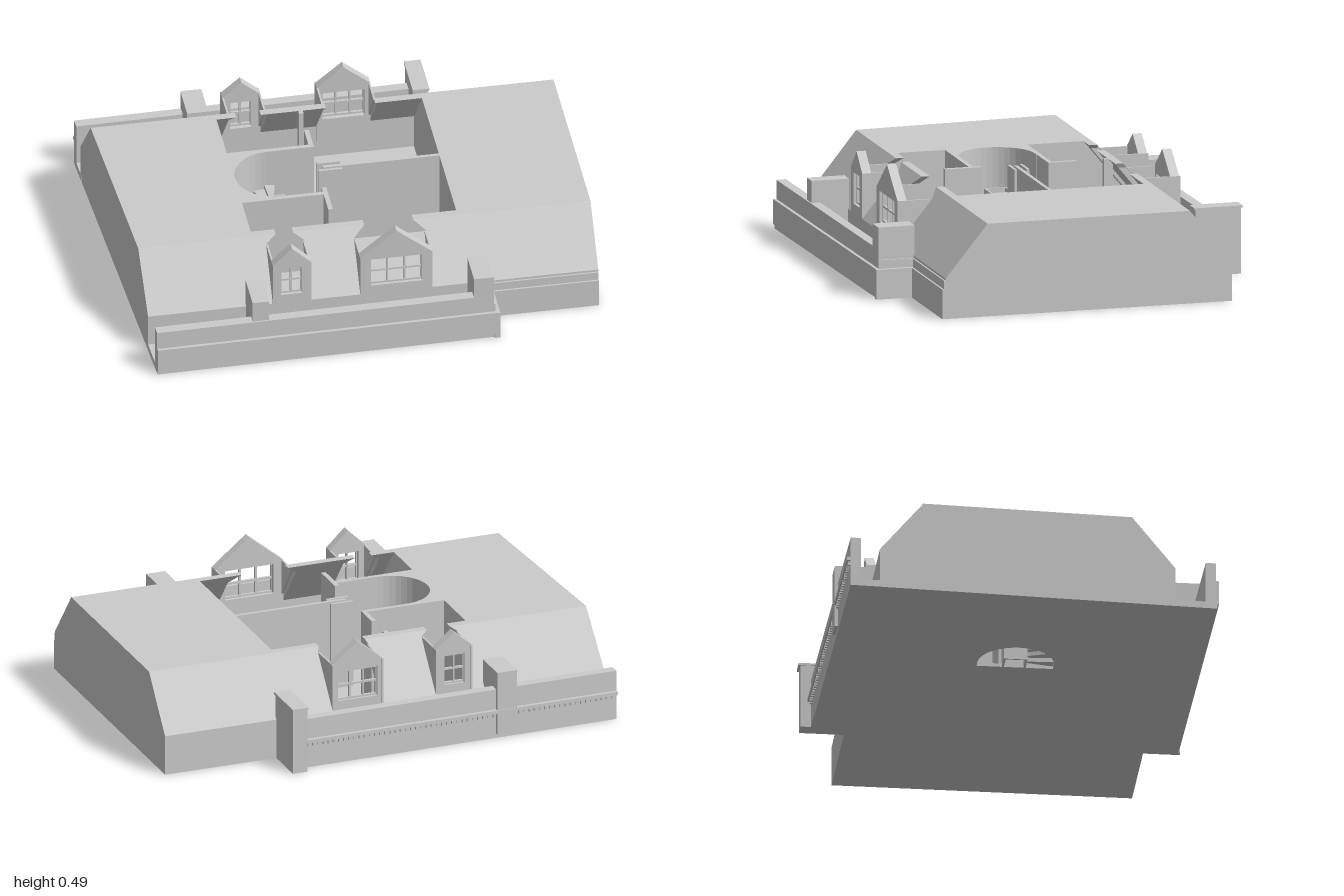
import * as THREE from 'three';

const mat = new THREE.MeshStandardMaterial({ color: 0xcccccc, flatShading: true, side: THREE.DoubleSide });
const TOP = 0.4, EAVE = 0.175, ZE = 0.63, ZR = 0.445;   // roof cut height, eaves height, eaves z, ridge z
const XL = -0.45, XR = 0.43;                            // attic room ends
const slopeZ = y => ZE + (ZR - ZE) * (y - EAVE) / (TOP - EAVE);
const skewX = z => -0.961 + 0.0503 * z;                 // slanted party wall

function shapeOf(pts) {
  return new THREE.Shape(pts.map(([x, y]) => new THREE.Vector2(x, y)));
}

function extrude(shape, depth) {
  return new THREE.ExtrudeGeometry(shape, { depth, bevelEnabled: false, curveSegments: 16 });
}

// Move every vertex by a rule, then rebuild normals
function warp(geo, rule) {
  const p = geo.attributes.position, v = new THREE.Vector3();
  for (let i = 0; i < p.count; i++) {
    rule(v.fromBufferAttribute(p, i));
    p.setXYZ(i, v.x, v.y, v.z);
  }
  geo.computeVertexNormals();
  return geo;
}

export function createModel() {
  const root = new THREE.Group();
  root.name = 'atticStorey';

  const add = (name, geo, parent = root) => {
    const m = new THREE.Mesh(geo, mat);
    m.name = name;
    parent.add(m);
    return m;
  };
  // Upright prism over a plan outline of [x, z] points
  const plan = (name, pts, y0, y1, hole) => {
    const s = shapeOf(pts.map(([x, z]) => [x, -z]));
    if (hole) s.holes.push(new THREE.Path(hole.map(([x, z]) => new THREE.Vector2(x, -z))));
    return add(name, extrude(s, y1 - y0).rotateX(-Math.PI / 2).translate(0, y0, 0));
  };
  const box = (name, x0, x1, y0, y1, z0, z1, parent) =>
    add(name, new THREE.BoxGeometry(x1 - x0, y1 - y0, z1 - z0)
      .translate((x0 + x1) / 2, (y0 + y1) / 2, (z0 + z1) / 2), parent);

  // Closed roof volumes at both ends
  const section = [[-ZE, 0], [ZE, 0], [ZE, EAVE], [ZR, TOP], [-ZR, TOP], [-ZE, EAVE]];
  const endBlock = (name, lo, hi) => add(name, warp(extrude(shapeOf(section), 1), v => {
    const z = -v.x, a = lo(z), b = hi(z);
    v.set(a + (b - a) * v.z, v.y, z);
  }));
  endBlock('leftRoofBlock', () => XR, () => 1);
  endBlock('rightRoofBlock', skewX, () => XL);

  // Stair well outline: half circle closed on the landing side
  const C = [-0.285, 0.018], R = 0.162, XS = -0.25;
  const arc = [];
  for (let i = 0; i <= 20; i++) {
    const a = Math.PI / 2 + Math.PI * i / 20;
    arc.push([C[0] + R * Math.cos(a), C[1] + R * Math.sin(a)]);
  }
  const well = [[XS, C[1] + R], ...arc, [XS, C[1] - R]];
  plan('floor', [[XL, -ZE], [XR, -ZE], [XR, ZE], [XL, ZE]], 0, 0.015, well);
  plan('stairEnclosure', [[XS, -0.165], [XL, -0.165], [XL, 0.2], [XS, 0.2], ...well], 0.01, TOP);

  // Winding treads around an open well
  const steps = 12;
  for (let i = 0; i < steps; i++) {
    const ring = (r, t) => {
      const a = Math.PI * (0.42 + 1.16 * t / steps);
      return [Math.min(XS, C[0] + r * Math.cos(a)), C[1] + r * Math.sin(a)];
    };
    const y = 0.03 + 0.018 * i;
    plan('stairTread', [ring(0.045, i), ring(R, i), ring(R, i + 1), ring(0.045, i + 1)], y - 0.018, y);
  }
  for (const [x0, x1] of [[-0.333, -0.325], [-0.235, -0.227]])
    box('stairString', x0, x1, 0, 0.25, -0.03, 0.058);
  for (const z of [-0.036, 0.056]) box('stairString', -0.333, -0.227, 0, 0.25, z, z + 0.008);

  // Interior partitions: x0, x1, z0, z1
  for (const [x0, x1, z0, z1] of [
    [XS, -0.08, -0.165, -0.145], [XS, -0.08, 0.18, 0.2],
    [-0.1, -0.08, -0.27, -0.145], [-0.1, -0.08, 0.15, 0.31], [-0.1, -0.08, -0.43, -0.39],
    [-0.07, XR, -0.006, 0.01], [-0.09, 0.01, 0.02, 0.032], [-0.09, 0.01, -0.034, -0.022],
  ]) box('partition', x0, x1, 0.01, TOP, z0, z1);

  // Middle roof slopes and dormers; s = 1 front, -1 back
  const sides = [
    { s: 1, dormers: [
      { x0: -0.395, x1: -0.23, eave: 0.37, peak: 0.45, cut: 0.045, cols: 2, w: [-0.36, -0.27] },
      { x0: -0.02, x1: 0.29, eave: 0.36, peak: 0.487, cut: 0.05, cols: 3, w: [0.025, 0.245] }] },
    { s: -1, dormers: [
      { x0: -0.395, x1: -0.23, eave: 0.38, peak: 0.45, cut: 0.03, cols: 2, w: [-0.36, -0.27] },
      { x0: 0.01, x1: 0.24, eave: 0.38, peak: 0.475, cut: 0.01, cols: 3, w: [0.035, 0.215] }] },
  ];
  for (const { s, dormers } of sides) {
    box('kneeWall', XL, XR, 0, EAVE, s * 0.615 - 0.015, s * 0.615 + 0.015);

    // Roof slab outline with a notch for each dormer
    const outline = [[XL, EAVE]];
    for (const d of dormers) outline.push([d.x0, EAVE], [d.x0, d.eave], [d.x0 + d.cut, TOP],
      [d.x1 - d.cut, TOP], [d.x1, d.eave], [d.x1, EAVE]);
    outline.push([XR, EAVE], [XR, TOP], [XL, TOP]);
    // split the outline into strips between the notches
    const [a, b] = dormers;
    const strips = [
      [[XL, EAVE], [a.x0, EAVE], [a.x0, a.eave], [a.x0 + a.cut, TOP], [XL, TOP]],
      [[a.x1, EAVE], [b.x0, EAVE], [b.x0, b.eave], [b.x0 + b.cut, TOP], [a.x1 - a.cut, TOP], [a.x1, a.eave]],
      [[b.x1, EAVE], [XR, EAVE], [XR, TOP], [b.x1 - b.cut, TOP], [b.x1, b.eave]],
    ];
    for (const strip of strips)
      add('roofSlope', warp(extrude(shapeOf(strip), 0.035), v => { v.z = s * (slopeZ(v.y) - v.z); }));

    for (const d of dormers) {
      const g = new THREE.Group();
      g.name = 'dormer';
      root.add(g);
      // Gable wall with window opening
      const mid = (d.x0 + d.x1) / 2, [w0, w1] = d.w, y0 = 0.215, y1 = 0.35;
      const gable = shapeOf([[d.x0, 0.1], [d.x1, 0.1], [d.x1, d.eave], [mid, d.peak], [d.x0, d.eave]]);
      gable.holes.push(new THREE.Path([[w0, y0], [w0, y1], [w1, y1], [w1, y0]]
        .map(([x, y]) => new THREE.Vector2(x, y))));
      add('gableWall', extrude(gable, 0.04).translate(0, 0, s > 0 ? ZE - 0.04 : 0.005 - ZE), g);
      // Window bars
      const zc = s * 0.61, t = 0.004;
      for (let i = 0; i <= d.cols; i++) {
        const x = w0 + (w1 - w0) * i / d.cols;
        box('windowBar', x - t, x + t, y0, y1, zc - 0.006, zc + 0.006, g);
      }
      for (const y of [y0 + t, (y0 + y1) / 2, y1 - t])
        box('windowBar', w0, w1, y - t, y + t, zc - 0.006, zc + 0.006, g);
      // Triangular cheeks
      const cheek = shapeOf([[-ZE, EAVE - 0.02], [-slopeZ(d.eave), d.eave], [-ZE, d.eave]]);
      for (const x of [d.x0, d.x1 - 0.008])
        add('dormerCheek', warp(extrude(cheek, 0.008), v => v.set(x + v.z, v.y, -s * v.x)), g);
    }
  }

  // Front parapet with gutter behind, stepped base, return and piers
  const run = (name, x0, x1, zIn, zOut, y0, y1, tilt) => {
    const z = (x, k) => k + tilt * (x + 0.2);
    plan(name, [[x0(zIn), z(x0(zIn), zIn)], [x1, z(x1, zIn)], [x1, z(x1, zOut)], [x0(zOut), z(x0(zOut), zOut)]], y0, y1);
  };
  const F = -0.012, B = -0.014;
  run('frontGutter', skewX, 0.54, 0.62, 0.78, 0, 0.03, F);
  run('frontParapet', skewX, 0.525, 0.75, 0.793, 0, 0.21, F);
  run('frontBaseCourse', skewX, 0.55, 0.785, 0.807, 0.02, 0.128, F);
  run('frontPlinth', skewX, 0.545, 0.785, 0.8, 0, 0.02, F);
  box('parapetReturn', 0.525, 0.55, 0, 0.128, 0.62, 0.8);
  box('parapetReturn', 0.5, 0.532, 0, 0.165, 0.62, 0.785);
  box('parapetPier', -0.51, -0.44, 0.02, 0.305, 0.625, 0.79);
  box('parapetPier', 0.44, 0.525, 0.02, 0.305, 0.625, 0.785);
  box('frontBand', 0.54, 1, 0, 0.128, 0.62, 0.645);
  box('frontBandCap', 0.54, 1, 0.128, 0.165, 0.62, 0.637);

  // Back parapet with dentilled cornice, pier and tall end pier
  run('backGutter', skewX, 0.44, -0.62, -0.76, 0, 0.03, B);
  run('backParapet', skewX, 0.44, -0.722, -0.766, 0, 0.22, B);
  run('backCornice', skewX, 0.44, -0.74, -0.782, 0.115, 0.13, B);
  for (let i = 0; i < 60; i++) {
    const x = -0.985 + i * 0.0235, z = -0.77 + B * (x + 0.2);
    box('dentil', x, x + 0.012, 0.098, 0.115, z - 0.006, z + 0.008);
  }
  box('parapetPier', -0.54, -0.45, 0.02, 0.3, -0.775, -0.61);
  box('endPier', 0.43, 0.495, 0, 0.285, -0.82, -0.62);
  box('endPierCap', 0.427, 0.499, 0.285, 0.295, -0.828, -0.615);

  return root;
}
